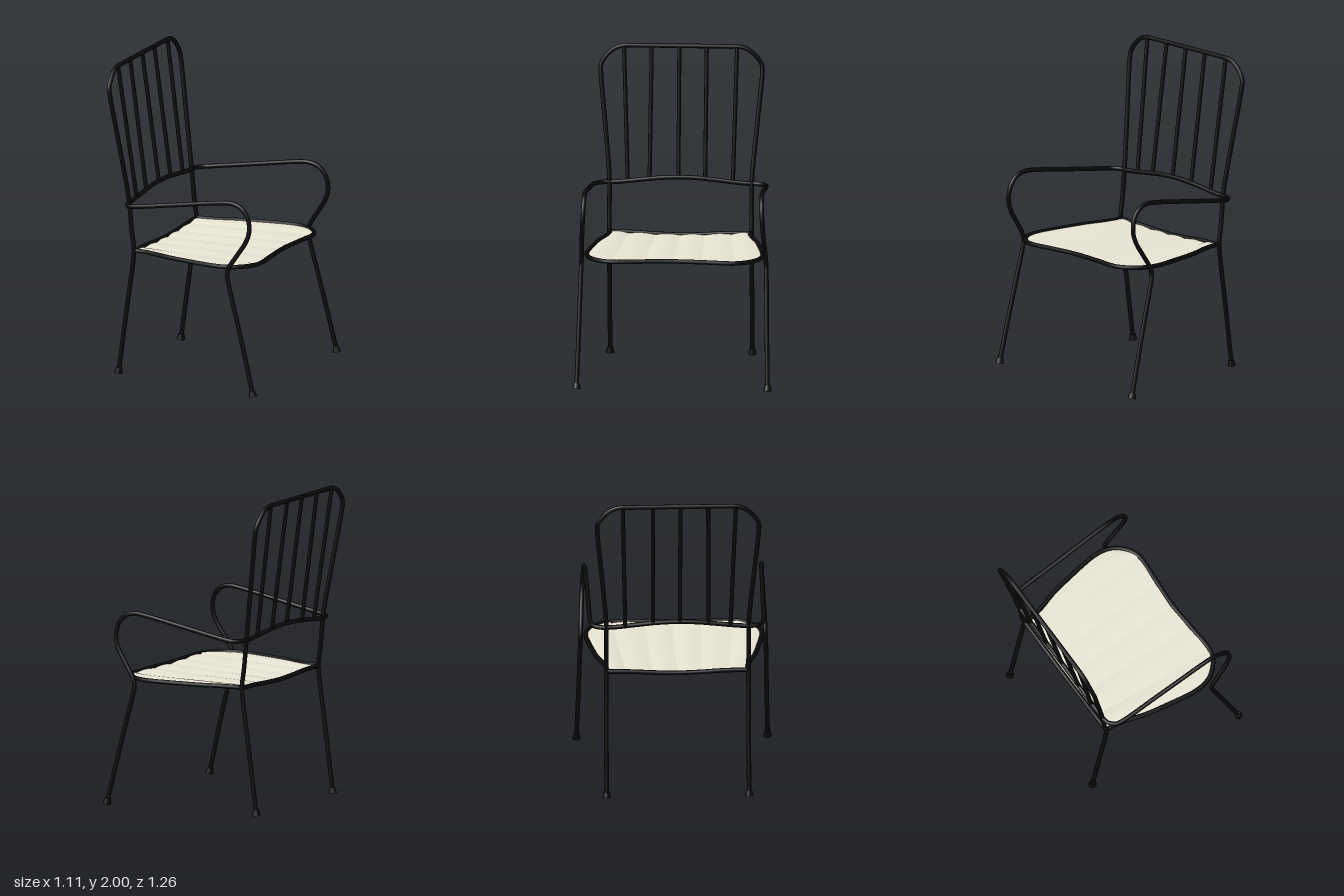
import * as THREE from 'three';

const R = 0.0145;
const black = new THREE.MeshStandardMaterial({ color: 0x0a0a0a });
const cream = new THREE.MeshStandardMaterial({ color: 0xe6e2d0, side: THREE.DoubleSide });
const V = (p) => new THREE.Vector3(...p);

// Smooth round bar through a list of points
function bar(name, points, closed = false, radius = R) {
  const curve = new THREE.CatmullRomCurve3(points.map(V), closed, 'centripetal');
  const geo = new THREE.TubeGeometry(curve, points.length * 8, radius, 10, closed);
  const mesh = new THREE.Mesh(geo, black);
  mesh.name = name;
  return mesh;
}

// A half path (from +z side to the middle) continued by its mirror image
function mirrored(half) {
  const other = half.map(([x, y, z]) => [x, y, -z]).reverse();
  return half.concat(half[half.length - 1][2] === 0 ? other.slice(1) : other);
}

// Half outline of the seat frame: [x, z], back to front
const edge = [[-0.385, 0.445], [-0.33, 0.446], [-0.25, 0.462], [-0.12, 0.502], [0.02, 0.528], [0.13, 0.546],
  [0.22, 0.556], [0.3, 0.55], [0.36, 0.527], [0.41, 0.485], [0.445, 0.435], [0.461, 0.38]];

function halfWidth(x) {
  for (let i = 1; i < edge.length; i++) {
    const [x0, z0] = edge[i - 1], [x1, z1] = edge[i];
    if (x <= x1) return z0 + (z1 - z0) * (x - x0) / (x1 - x0);
  }
  return edge[edge.length - 1][1];
}

// One gently arched seat panel between two lengthwise seams
function seatPanel(k, side) {
  const nx = 28, nz = 8, pos = [], index = [];
  const seam = (j, t, x) => j === 3 ? halfWidth(x)
    : Math.min([0, 0.155, 0.325][j] + [0, 0.025, 0.062][j] * t, halfWidth(x));
  for (let i = 0; i <= nx; i++) {
    const t = i / nx, x = -0.385 + 0.846 * t;
    const a = seam(k, t, x), b = seam(k + 1, t, x);
    for (let j = 0; j <= nz; j++) {
      const v = j / nz, z = a + (b - a) * v;
      const sag = 0.017 * (1 - t) * Math.max(0, 1 - (z / 0.42) ** 2);
      pos.push(x - 0.021 * t * Math.max(0, 1 - z / 0.38), 0.813 - sag + 0.008 * Math.sin(Math.PI * v), z * side);
      if (i < nx && j < nz) {
        const p = i * (nz + 1) + j, q = p + nz + 1;
        if (side > 0) index.push(p, p + 1, q, q, p + 1, q + 1);
        else index.push(p, q, p + 1, q, q + 1, p + 1);
      }
    }
  }
  const geo = new THREE.BufferGeometry();
  geo.setAttribute('position', new THREE.Float32BufferAttribute(pos, 3));
  geo.setIndex(index);
  geo.computeVertexNormals();
  const mesh = new THREE.Mesh(geo, cream);
  mesh.name = 'seatPanel';
  return mesh;
}

// Flared foot cap, tilted along its leg
function foot(x, z, lean) {
  const mesh = new THREE.Mesh(new THREE.CylinderGeometry(0.019, 0.027, 0.036, 10), black);
  mesh.position.set(x, 0.021, z);
  mesh.rotation.z = lean;
  mesh.name = 'foot';
  return mesh;
}

export function createModel() {
  const chair = new THREE.Group();
  chair.name = 'armchair';

  // Rear legs and back hoop in one bent bar
  chair.add(bar('rearLegsAndBackHoop', mirrored([
    [-0.495, 0.02, 0.45], [-0.44, 0.42, 0.45], [-0.391, 0.77, 0.45], [-0.388, 0.82, 0.45], [-0.405, 0.95, 0.45],
    [-0.422, 1.13, 0.45], [-0.434, 1.22, 0.455], [-0.48, 1.52, 0.483], [-0.528, 1.83, 0.511], [-0.535, 1.87, 0.508],
    [-0.539, 1.92, 0.476], [-0.541, 1.965, 0.425], [-0.542, 1.984, 0.37], [-0.542, 1.985, 0.3]])));

  // Front legs, arm loops and lower back rail in one bent bar
  chair.add(bar('frontLegsAndArms', mirrored([
    [0.52, 0.02, 0.604], [0.43, 0.38, 0.594], [0.338, 0.73, 0.586], [0.33, 0.775, 0.584], [0.345, 0.825, 0.582],
    [0.4, 0.91, 0.578], [0.452, 0.99, 0.573], [0.475, 1.05, 0.57], [0.478, 1.1, 0.567], [0.462, 1.16, 0.564],
    [0.425, 1.207, 0.562], [0.38, 1.229, 0.56], [0.33, 1.235, 0.558], [0.26, 1.228, 0.557], [-0.05, 1.177, 0.552],
    [-0.34, 1.13, 0.546], [-0.375, 1.126, 0.538], [-0.405, 1.125, 0.512], [-0.42, 1.125, 0.475],
    [-0.422, 1.127, 0.4], [-0.424, 1.143, 0.25], [-0.426, 1.156, 0.12], [-0.426, 1.16, 0]])));

  // Upright back bars: [z at bottom, z at top]
  for (const [zb, zt] of [[0.335, 0.365], [0.197, 0.19], [0.015, 0.015], [-0.155, -0.158], [-0.33, -0.35]]) {
    const yb = 1.16 - 0.26 * zb * zb;
    chair.add(bar('backBar', [[-0.426, yb, zb], [-0.484, (yb + 1.985) / 2, (zb + zt) / 2], [-0.542, 1.985, zt]], false, 0.013));
  }

  // Seat frame: curved sides and front, slightly sagging rear bar
  const rim = edge.map(([x, z]) => [x, 0.814, z]);
  chair.add(bar('seatFrame', mirrored([...rim, [0.452, 0.817, 0.2], [0.441, 0.818, 0]])));
  chair.add(bar('seatRearBar', mirrored([[-0.385, 0.812, 0.455], [-0.385, 0.81, 0.3], [-0.385, 0.801, 0.14], [-0.385, 0.797, 0]])));

  for (const side of [1, -1]) {
    for (let k = 0; k < 3; k++) chair.add(seatPanel(k, side));
    chair.add(foot(0.52, 0.604 * side, 0.24), foot(-0.495, 0.45 * side, -0.13));
  }
  return chair;
}
